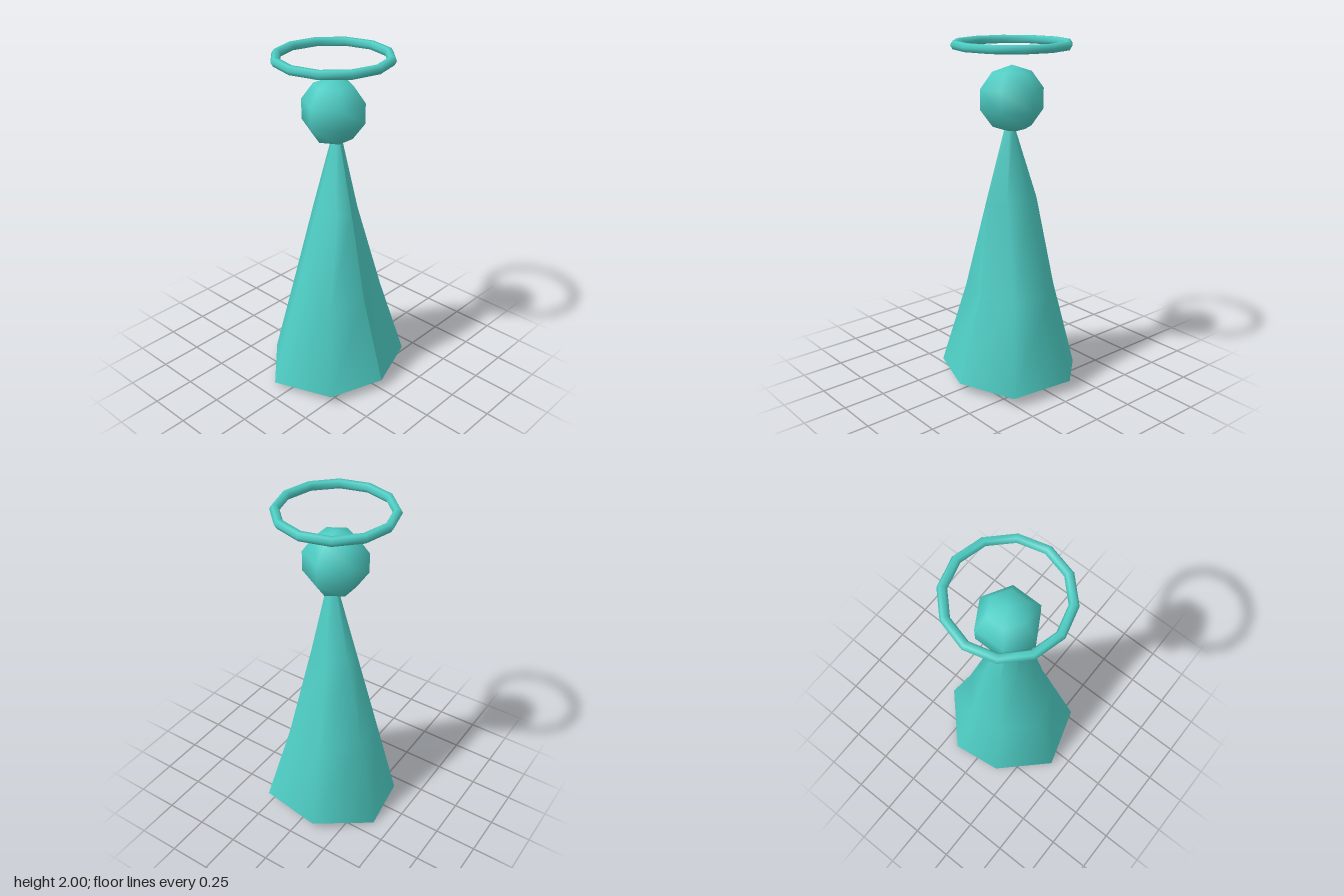
import * as THREE from 'three';

// Loft through cross-sections of [x, y, z] corners, with a seam at the front edge
function loft(rings) {
  const n = rings[0].length, row = n + 1;
  const positions = [], index = [];
  for (const ring of rings) {
    for (let i = 0; i <= n; i++) positions.push(...ring[i % n]);
  }
  for (let r = 0; r < rings.length - 1; r++) {
    for (let i = 0; i < n; i++) {
      const a = r * row + i, b = a + 1, c = b + row, d = a + row;
      index.push(a, b, c, a, c, d);
    }
  }
  const geometry = new THREE.BufferGeometry();
  geometry.setAttribute('position', new THREE.Float32BufferAttribute(positions, 3));
  geometry.setIndex(index);
  geometry.computeVertexNormals();
  return geometry;
}

// Give a flat list of [x, z] corners a height
const level = (y, points) => points.map(([x, z]) => [x, y, z]);

export function createModel() {
  const group = new THREE.Group();
  const turquoise = new THREE.MeshStandardMaterial({ color: 0x4ecdc4, side: THREE.DoubleSide });
  turquoise.name = 'turquoise';

  const add = (name, geometry, x = 0, y = 0, z = 0) => {
    const mesh = new THREE.Mesh(geometry, turquoise);
    mesh.name = name;
    mesh.position.set(x, y, z);
    group.add(mesh);
  };

  // Hand-shaped seven-sided robe, open at the uneven hem
  add('robe', loft([
    [[0.015, 0.05, 0.39], [0.36, 0.053, 0.27], [0.42, 0.06, -0.11], [0.16, 0.0, -0.39],
      [-0.15, 0.035, -0.355], [-0.42, 0.025, -0.09], [-0.31, 0.05, 0.275]],
    level(0.55, [[0.02, 0.235], [0.24, 0.17], [0.275, -0.07], [0.11, -0.255],
      [-0.1, -0.235], [-0.27, -0.06], [-0.2, 0.17]]),
    level(1.1, [[-0.01, 0.155], [0.1, 0.1], [0.145, -0.03], [0.08, -0.14],
      [-0.02, -0.13], [-0.09, -0.04], [-0.08, 0.1]]),
    level(1.51, [[0.01, 0.045], [0.04, 0.035], [0.048, 0.01], [0.03, -0.02],
      [0.005, -0.02], [-0.005, 0.005], [-0.003, 0.03]]),
  ]));

  // Low-sided round head
  add('head', new THREE.SphereGeometry(0.189, 6, 5), 0.013, 1.677, -0.01);

  // Twelve-sided ring floating above the head
  add('halo', new THREE.TorusGeometry(0.314, 0.026, 6, 12).rotateX(Math.PI / 2), 0.013, 1.9775, -0.01);

  return group;
}
